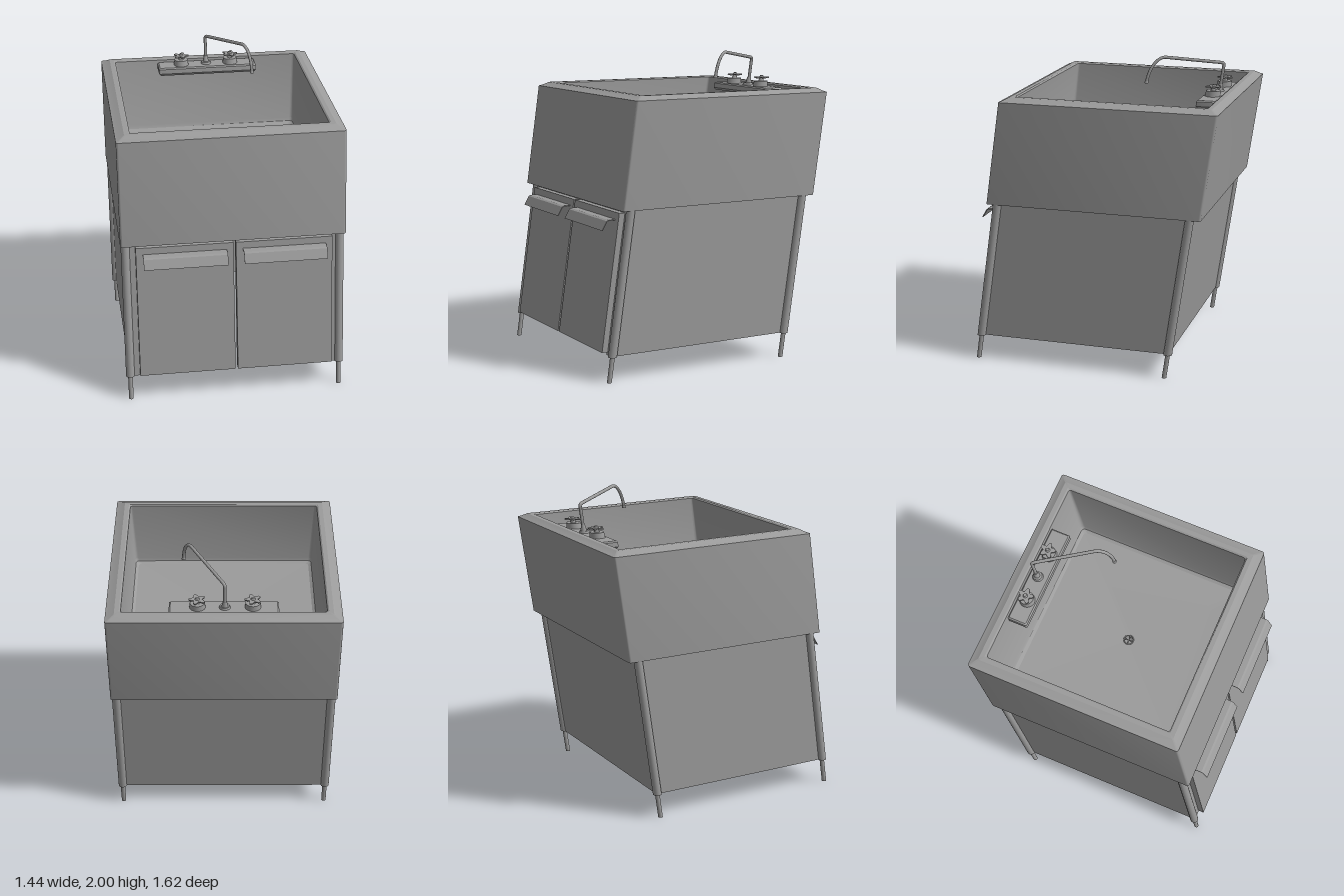
import * as THREE from 'three';
import { mergeGeometries, mergeVertices, toCreasedNormals } from 'three/addons/utils/BufferGeometryUtils.js';

// Everything is built upright, then leaned backwards by this shear (z shifts with y).
const LEAN = new THREE.Matrix4().set(1, 0, 0, 0, 0, 1, 0, 0, 0, -0.145, 1, 0, 0, 0, 0, 1);
const MID = 0.15; // centre of the basin in depth
const V = (x, y, z) => new THREE.Vector3(x, y, z);

const box = (x0, x1, y0, y1, z0, z1) =>
  new THREE.BoxGeometry(x1 - x0, y1 - y0, z1 - z0)
    .translate((x0 + x1) / 2, (y0 + y1) / 2, (z0 + z1) / 2);

const post = (rTop, rBottom, y0, y1, x, z, sides = 20) =>
  new THREE.CylinderGeometry(rTop, rBottom, y1 - y0, sides).translate(x, (y0 + y1) / 2, z);

// Skin through rounded-rectangle rings given as [halfX, halfZ, y, cornerRadius]
function ringSkin(rings, zMid, steps = 4) {
  const pos = [], index = [], n = 4 * (steps + 1);
  for (const [hx, hz, y, r] of rings) {
    for (let c = 0; c < 4; c++) {
      const sx = c === 0 || c === 3 ? 1 : -1, sz = c < 2 ? -1 : 1;
      for (let s = 0; s <= steps; s++) {
        const t = (c + s / steps) * Math.PI / 2;
        pos.push(sx * (hx - r) + r * Math.cos(t), y, zMid + sz * (hz - r) - r * Math.sin(t));
      }
    }
  }
  for (let i = 0; i < rings.length - 1; i++) {
    for (let j = 0; j < n; j++) {
      const a = i * n + j, b = i * n + (j + 1) % n;
      index.push(a, b, a + n, b, b + n, a + n);
    }
  }
  const g = new THREE.BufferGeometry();
  g.setAttribute('position', new THREE.Float32BufferAttribute(pos, 3));
  g.setIndex(index);
  return toCreasedNormals(mergeVertices(g), 0.42);
}

export function createModel() {
  const group = new THREE.Group();
  const steel = new THREE.MeshStandardMaterial({ color: 0x9b9b9b });
  const steelThin = new THREE.MeshStandardMaterial({ color: 0x9b9b9b, side: THREE.DoubleSide });
  const add = (name, geo, mat = steel) => {
    const mesh = new THREE.Mesh(geo.applyMatrix4(LEAN), mat);
    mesh.name = name;
    group.add(mesh);
  };

  // Basin: underside, outer wall, bevelled rim, inner wall, floor falling to the drain
  add('basin', ringSkin([
    [0.001, 0.001, 1.07, 0.0003],
    [0.721, 0.707, 1.07, 0.015],
    [0.721, 0.707, 1.742, 0.015],
    [0.705, 0.692, 1.747, 0.012],
    [0.665, 0.655, 1.768, 0.008],
    [0.637, 0.625, 1.768, 0.012],
    [0.627, 0.615, 1.76, 0.015],
    [0.614, 0.602, 1.31, 0.025],
    [0.607, 0.595, 1.288, 0.025],
    [0.588, 0.576, 1.275, 0.025],
    [0.025, 0.025, 1.25, 0.002],
  ], MID));

  // Drain: ring, cup and crossed strainer
  add('drainRing', new THREE.TorusGeometry(0.031, 0.004, 8, 24).rotateX(Math.PI / 2).translate(0, 1.252, MID));
  add('drainCup', new THREE.LatheGeometry(
    [[0, 1.17], [0.031, 1.17], [0.031, 1.25]].map(p => new THREE.Vector2(...p)), 20).translate(0, 0, MID), steelThin);
  add('drainStrainer', mergeGeometries([
    box(-0.03, 0.03, 1.243, 1.249, MID - 0.003, MID + 0.003),
    box(-0.003, 0.003, 1.243, 1.249, MID - 0.03, MID + 0.03),
  ]));

  // Legs with slimmer feet
  for (const [end, z] of [['front', 0.79], ['back', -0.482]]) {
    for (const x of [-0.688, 0.69]) {
      add(end + 'Leg', post(0.028, 0.028, 0.16, 1.072, x, z));
      add(end + 'Foot', post(0.015, 0.015, 0, 0.17, x, z));
    }
  }

  // Cabinet shell, open underneath
  for (const s of [-1, 1]) {
    const x = s * 0.684;
    add('sidePanel', box(x - 0.006, x + 0.006, 0.162, 1.071, -0.482, 0.79));
    add('frontStile', box(s * 0.654 - 0.03, s * 0.654 + 0.03, 0.162, 1.071, 0.788, 0.798));
  }
  add('backPanel', box(-0.688, 0.688, 0.162, 1.071, -0.488, -0.476));
  add('topRail', box(-0.64, 0.64, 1.04, 1.071, 0.788, 0.798));

  // Doors with folded pull strips
  for (const s of [-1, 1]) {
    const x = 0.005 + s * 0.319;
    add('door', box(x - 0.311, x + 0.311, 0.18, 1.048, 0.788, 0.837));
    const lip = new THREE.Shape();
    [[0.83, 1.005], [0.882, 1.004], [0.894, 0.997], [0.919, 0.94], [0.914, 0.94],
      [0.89, 0.992], [0.88, 0.998], [0.83, 0.999]]
      .forEach(([z, y], i) => (i ? lip.lineTo(-z, y) : lip.moveTo(-z, y)));
    // profile plane (-z, y) is turned so that the strip runs along x
    add('doorPull', new THREE.ExtrudeGeometry(lip, { depth: 0.535, bevelEnabled: false })
      .rotateY(Math.PI / 2).translate(x - 0.2675, 0, 0));
  }

  // Tap ledge on the back wall
  const TZ = -0.396;
  add('tapLedge', ringSkin([
    [0.001, 0.0005, 1.695, 0.0002],
    [0.325, 0.055, 1.695, 0.008],
    [0.337, 0.065, 1.71, 0.01],
    [0.337, 0.065, 1.74, 0.01],
    [0.328, 0.057, 1.748, 0.008],
    [0.001, 0.0005, 1.748, 0.0002],
  ], TZ));

  // Two taps with lobed handles
  for (const x of [-0.177, 0.162]) {
    add('tapBase', mergeGeometries([
      post(0.046, 0.05, 1.745, 1.784, x, TZ, 24),
      post(0.012, 0.018, 1.784, 1.808, x, TZ, 16),
    ]));
    const lobes = new THREE.Shape();
    for (let i = 0; i <= 80; i++) {
      const t = i / 80 * Math.PI * 2, r = 0.041 + 0.012 * Math.cos(5 * t);
      lobes[i ? 'lineTo' : 'moveTo'](r * Math.cos(t), r * Math.sin(t));
    }
    add('tapHandle', new THREE.ExtrudeGeometry(lobes, { depth: 0.008, bevelEnabled: false })
      .rotateX(-Math.PI / 2).translate(x, 1.804, TZ));
    add('tapCap', post(0.01, 0.016, 1.811, 1.822, x, TZ, 16));
  }

  // Spout: flared base, upright, long arm and down-turned end
  const SX = -0.005, SZ = -0.406;
  const along = (k, y) => V(SX + 0.257 * k, y, SZ + 0.435 * k);
  const path = new THREE.CurvePath();
  path.add(new THREE.LineCurve3(along(0, 1.77), along(0, 1.92)));
  path.add(new THREE.QuadraticBezierCurve3(along(0, 1.92), along(0, 1.935), along(0.05, 1.938)));
  path.add(new THREE.LineCurve3(along(0.05, 1.938), along(0.8, 1.989)));
  path.add(new THREE.CubicBezierCurve3(along(0.8, 1.989), along(0.88, 1.992), along(0.99, 1.945), along(1, 1.83)));
  add('spout', new THREE.TubeGeometry(path, 90, 0.0105, 12, false), steelThin);
  add('spoutTip', post(0.011, 0.014, 1.825, 1.84, SX + 0.257, SZ + 0.435, 16));
  add('spoutBase', mergeGeometries([
    post(0.03, 0.036, 1.745, 1.762, SX, SZ + 0.005),
    post(0.013, 0.02, 1.762, 1.8, SX, SZ),
  ]));

  return group;
}
